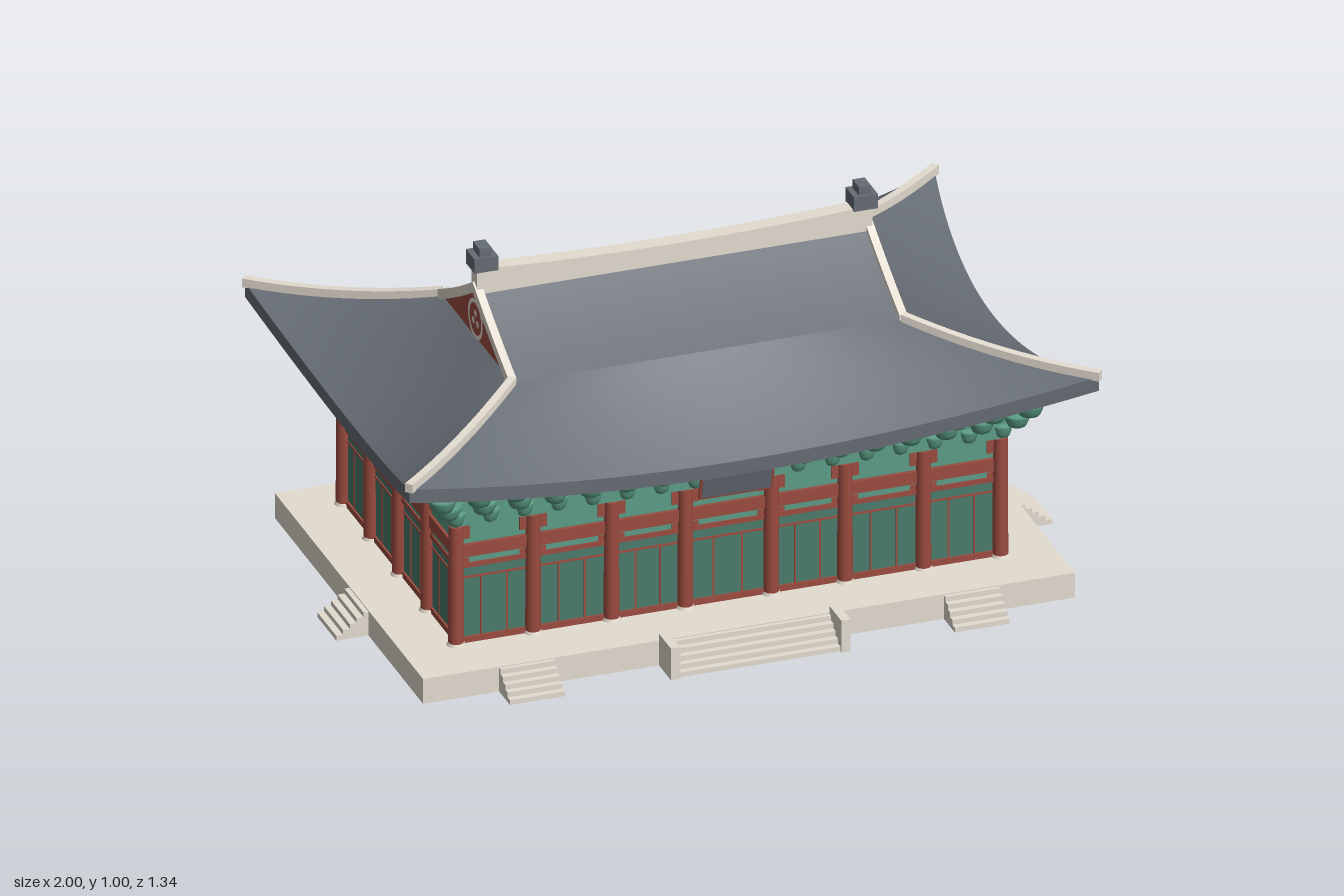
import * as THREE from 'three';

const mat = (name, color, side = THREE.FrontSide) => {
  const m = new THREE.MeshStandardMaterial({ color, side });
  m.name = name;
  return m;
};

export function createModel() {
  const stone = mat('pale stone', 0xe4dcd0);
  const red = mat('painted red wood', 0x9b4b3f);
  const wallGreen = mat('wall green', 0x4c7c6b);
  const lightGreen = mat('bracket green', 0x5b9c85);
  const tile = mat('roof tile grey', 0x666c74, THREE.DoubleSide);

  const model = new THREE.Group();
  const hall = new THREE.Group();
  hall.name = 'hall';
  hall.position.z = -0.02;
  model.add(hall);

  const add = (parent, name, geo, material, x = 0, y = 0, z = 0) => {
    const m = new THREE.Mesh(geo, material);
    m.name = name;
    m.position.set(x, y, z);
    parent.add(m);
    return m;
  };
  // box given by centre x, z and bottom/top heights
  const box = (parent, name, material, x, y0, y1, z, w, d) =>
    add(parent, name, new THREE.BoxGeometry(w, y1 - y0, d), material, x, (y0 + y1) / 2, z);

  // surface from f(u, s) -> [x, y, z], u and s in 0..1
  const grid = (f, nu, ns, flat = false) => {
    const pos = [], idx = [];
    for (let j = 0; j <= ns; j++)
      for (let i = 0; i <= nu; i++) pos.push(...f(i / nu, j / ns));
    for (let j = 0; j < ns; j++)
      for (let i = 0; i < nu; i++) {
        const a = j * (nu + 1) + i, b = a + nu + 1;
        idx.push(a, b, a + 1, a + 1, b, b + 1);
      }
    let g = new THREE.BufferGeometry();
    g.setAttribute('position', new THREE.Float32BufferAttribute(pos, 3));
    g.setIndex(idx);
    if (flat) g = g.toNonIndexed();
    g.computeVertexNormals();
    return g;
  };
  // upright rectangular bar swept along path(t), with closed ends
  const section = [[-1, 0], [-1, 1], [1, 1], [1, 0], [-1, 0]];
  const sweep = (path, w, h, n) => {
    const p0 = path(0), p1 = path(1);
    const dx = p1[0] - p0[0], dz = p1[2] - p0[2], len = Math.hypot(dx, dz);
    return grid((u, s) => {
      const j = Math.round(s * (n + 2));
      const p = path(Math.min(Math.max((j - 1) / n, 0), 1));
      let [a, b] = section[Math.round(u * 4)];
      if (j === 0 || j === n + 2) { a = 0; b = 0.5; }
      return [p[0] + a * w / 2 * dz / len, p[1] + b * h, p[2] - a * w / 2 * dx / len];
    }, 4, n + 2, true);
  };

  // ---- podium, hollowed a little underneath, and stairs
  box(model, 'podium', stone, 0, 0.025, 0.073, 0.002, 1.82, 1.148);
  for (const s of [-1, 1]) {
    box(model, 'podiumRim', stone, 0, 0, 0.025, 0.002 + s * 0.564, 1.82, 0.02);
    box(model, 'podiumRim', stone, s * 0.9, 0, 0.025, 0.002, 0.02, 1.108);
  }
  const stairs = (x, z, w, d, turn) => {
    const g = new THREE.Group();
    g.name = 'stairs';
    g.position.set(x, 0, z);
    g.rotation.y = turn;
    model.add(g);
    const n = 5;
    for (let i = 0; i < n; i++) {
      const depth = d * (n - i) / n;
      box(g, 'step', stone, 0, 0.07 * i / n, 0.07 * (i + 1) / n, depth / 2, w, depth);
    }
  };
  stairs(0, 0.57, 0.45, 0.09, 0);
  for (const s of [-1, 1]) {
    stairs(s * 0.621, 0.57, 0.153, 0.09, 0);
    stairs(s * 0.905, 0.08, 0.147, 0.095, s * Math.PI / 2);
    box(model, 'stairWall', stone, s * 0.238, 0, 0.093, 0.621, 0.026, 0.094);
  }

  // ---- walls, columns and brackets, one side at a time facing +z
  box(hall, 'wallCore', wallGreen, 0, 0.07, 0.43, 0, 1.51, 0.86);
  box(hall, 'bracketCore', lightGreen, 0, 0.425, 0.545, 0, 1.55, 0.9);
  box(hall, 'ceiling', wallGreen, 0, 0.535, 0.548, 0, 1.67, 1.02);
  const bowl = new THREE.LatheGeometry([[0, 0], [0.016, 0.001], [0.025, 0.006], [0.03, 0.018],
    [0.035, 0.032], [0.036, 0.042], [0, 0.042]].map(p => new THREE.Vector2(...p)), 12);
  const columnGeo = new THREE.CylinderGeometry(0.02, 0.021, 0.345, 16);
  const plinthGeo = new THREE.CylinderGeometry(0.022, 0.025, 0.008, 16);
  const tiers = [[0.004, 0.425, 0.78], [0.034, 0.464, 1], [0.06, 0.503, 1.1]];

  const facade = (cols, dist, turn) => {
    const g = new THREE.Group();
    g.name = 'facade';
    g.rotation.y = turn;
    hall.add(g);
    const half = cols[cols.length - 1], face = dist - 0.005;
    // continuous rails
    box(g, 'upperPanel', lightGreen, 0, 0.365, 0.43, face, 2 * half, 0.006);
    box(g, 'lowerPanel', lightGreen, 0, 0.308, 0.327, face, 2 * half, 0.006);
    box(g, 'tieBeam', red, 0, 0.327, 0.363, face, 2 * half, 0.02);
    box(g, 'lintel', red, 0, 0.294, 0.308, face, 2 * half, 0.014);
    box(g, 'doorHead', red, 0, 0.261, 0.267, face, 2 * half, 0.006);
    box(g, 'sill', red, 0, 0.073, 0.09, face, 2 * half, 0.012);
    cols.forEach((x, i) => {
      if (i === cols.length - 1) return;
      add(g, 'column', columnGeo, red, x, 0.25, dist);
      add(g, 'plinth', plinthGeo, stone, x, 0.077, dist);
      const w = cols[i + 1] - x;
      for (const t of [1 / 3, 2 / 3])
        box(g, 'doorStile', red, x + w * t, 0.085, 0.265, face, 0.005, 0.004);
      for (const bx of [x + 0.028, x + w - 0.028]) {
        box(g, 'columnBracket', red, bx, 0.38, 0.42, face, 0.02, 0.016);
        box(g, 'columnBlock', red, bx, 0.306, 0.322, face, 0.018, 0.01);
      }
    });
    // three outward-stepping bracket tiers
    const n = 2 * cols.length;
    for (const [off, y, k] of tiers) {
      const h = half + off;
      box(g, 'bracketBeam', lightGreen, 0, y + 0.022, y + 0.04, dist + off - 0.02, 2 * h, 0.04);
      for (let i = 0; i < n; i++)
        add(g, 'bracket', bowl, lightGreen, -h + 2 * h * i / n, y, dist + off).scale.set(k, 1, k);
    }
  };
  const longCols = [-0.76, -0.545, -0.326, -0.12, 0.12, 0.326, 0.545, 0.76];
  const shortCols = [-0.435, -0.22, 0, 0.22, 0.435];
  for (const k of [0, 1]) {
    facade(longCols, 0.435, k * Math.PI);
    facade(shortCols, 0.76, (k + 0.5) * Math.PI);
  }

  // hanging board, leaning forward at the top
  const board = new THREE.Group();
  board.name = 'hangingBoard';
  board.position.set(0, 0.45, 0.5);
  board.rotation.x = 0.22;
  hall.add(board);
  box(board, 'boardFrame', red, 0, -0.037, 0.037, 0, 0.206, 0.007);
  box(board, 'boardFace', tile, 0, -0.031, 0.031, 0.003, 0.192, 0.004);

  // ---- hip-and-gable roof
  const lerp = THREE.MathUtils.lerp;
  const hipY = s => 0.73 - 0.145 * s + 0.075 * s * s;
  const gableY = s => 0.884 - 0.175 * s + 0.021 * s * s;
  const slope = (top, corner, d0, dMid, dCorner, bend, inner, innerD, turn) => {
    const g = new THREE.Group();
    g.name = 'roofSlope';
    g.rotation.y = turn;
    hall.add(g);
    const surf = (u, s) => {
      const c = 2 * u - 1, q = c * c;
      const mid = 0.73 - (0.185 + bend) * s + bend * s * s;
      return [c * lerp(top, corner, s), lerp(mid, hipY(s), q), lerp(d0, dMid + (dCorner - dMid) * q, s)];
    };
    add(g, 'lowerTiles', grid(surf, 32, 12), tile);
    add(g, 'eaveEdge', grid((u, s) => {
      const p = surf(u, 1);
      return [p[0], p[1] - 0.04 * s, p[2]];
    }, 32, 1), tile);
    add(g, 'soffit', grid((u, s) => {
      const p = surf(u, 1);
      return [lerp(p[0], (2 * u - 1) * inner, s), lerp(p[1] - 0.04, 0.54, s), lerp(p[2], innerD, s)];
    }, 32, 2), wallGreen);
    return g;
  };
  for (const k of [0, 1]) {
    const g = slope(0.545, 0.963, 0.275, 0.56, 0.637, 0.02, 0.835, 0.51, k * Math.PI);
    add(g, 'upperTiles', grid((u, s) => [(2 * u - 1) * 0.545, gableY(s), 0.275 * s], 4, 8), tile);
    slope(0.275, 0.637, 0.545, 0.9, 0.963, 0.06, 0.51, 0.835, (k + 0.5) * Math.PI);
  }

  // ridges
  add(hall, 'mainRidge', sweep(t => {
    const c = 2 * t - 1;
    return [c * 0.552, 0.848 + 0.018 * c * c, 0];
  }, 0.045, 0.078, 16), stone);
  for (const sx of [-1, 1]) {
    for (const sz of [-1, 1]) {
      add(hall, 'gableRidge', sweep(t => [sx * 0.546, gableY(t) - 0.016, sz * 0.278 * t], 0.022, 0.03, 8), stone);
      add(hall, 'hipRidge', sweep(t => [sx * lerp(0.545, 0.966, t), hipY(t) - 0.008,
        sz * lerp(0.275, 0.64, t)], 0.022, 0.026, 12), stone);
    }
    box(hall, 'ridgeOrnamentBase', tile, sx * 0.53, 0.938, 0.98, 0, 0.066, 0.066);
    box(hall, 'ridgeOrnamentTop', tile, sx * 0.53, 0.98, 1.004, 0, 0.034, 0.05);

    // gable wall with a round medallion
    const gable = new THREE.Group();
    gable.name = 'gable';
    gable.position.x = sx * 0.545;
    gable.rotation.y = sx * Math.PI / 2;
    hall.add(gable);
    const tri = new THREE.Shape();
    tri.moveTo(-0.275, 0.725);
    tri.lineTo(0.275, 0.725);
    for (let i = 8; i >= 0; i--) tri.lineTo(0.275 * i / 8, gableY(i / 8));
    for (let i = 1; i <= 8; i++) tri.lineTo(-0.275 * i / 8, gableY(i / 8));
    add(gable, 'gableWall', new THREE.ShapeGeometry(tri), red);
    add(gable, 'medallionRing', new THREE.RingGeometry(0.045, 0.057, 32), stone, 0, 0.787, 0.004);
    for (const [x, y] of [[0, 0.804], [-0.016, 0.778], [0.016, 0.778]])
      add(gable, 'medallionDot', new THREE.CircleGeometry(0.01, 16), stone, x, y, 0.004);
  }
  return model;
}
